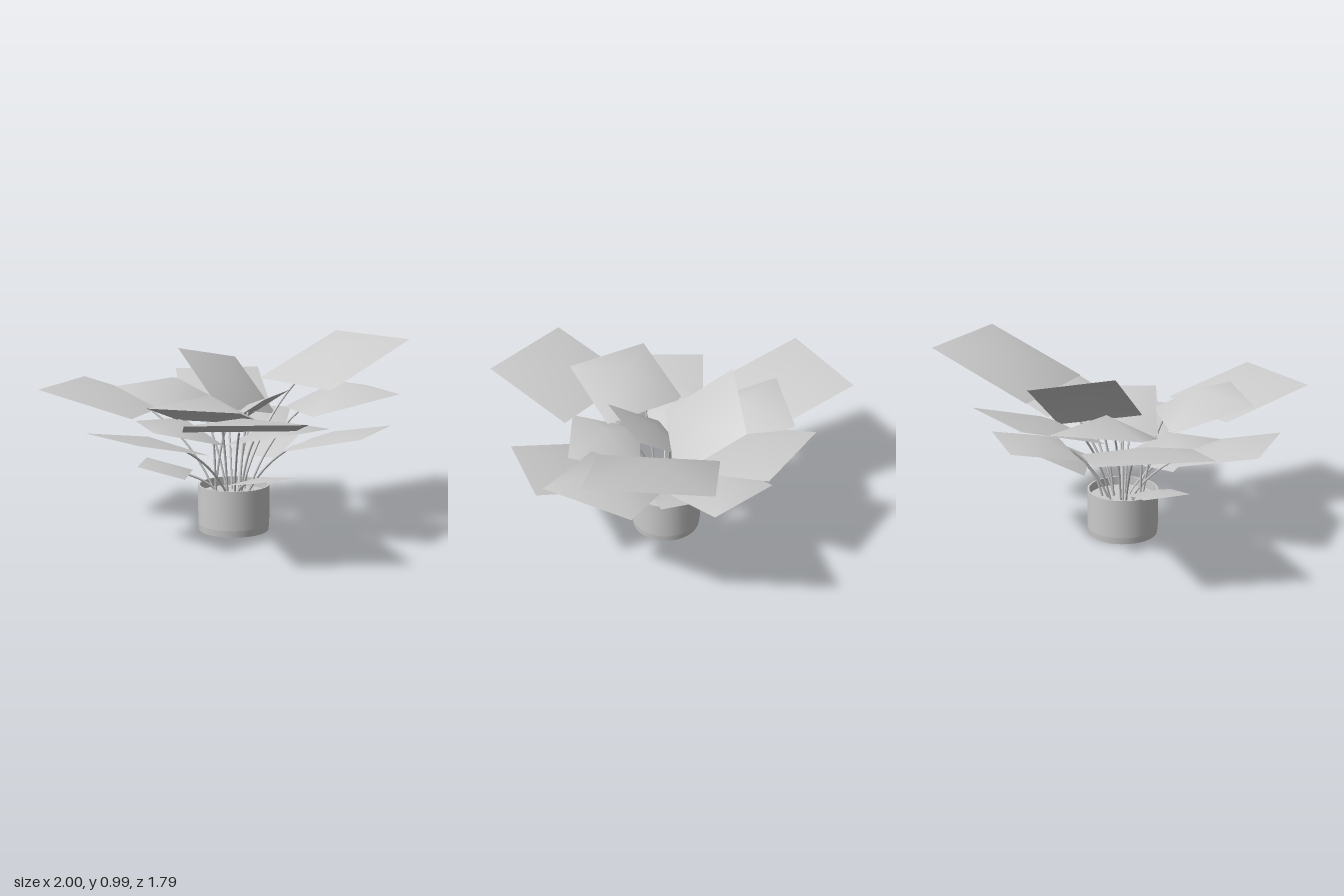
import * as THREE from 'three';

const V = (p) => new THREE.Vector3(...p);
const POT = { x: -0.004, z: 0.08, r: 0.191, h: 0.247 };

// Each leaf: two outer corners, the inner corner next to the second one, and the height of its bulge
const upperLeaves = [
  [[-0.31, 0.985, -0.9], [0.305, 0.985, -0.9], [0.305, 0.75, -0.33], 0.08],
  [[1.0, 0.745, 0.405], [0.69, 0.745, 0.87], [0.235, 0.617, 0.57], 0.05],
  [[-1.0, 0.745, 0.41], [-0.685, 0.745, 0.87], [-0.235, 0.617, 0.57], 0.05],
  [[-0.435, 0.865, -0.25], [-0.345, 0.953, 0.2], [0.01, 0.67, 0.185], 0.06],
  [[0.09, 0.715, -0.78], [0.54, 0.735, -0.605], [0.365, 0.635, -0.155], 0.11],
  [[0.565, 0.745, 0.465], [0.18, 0.745, 0.74], [-0.07, 0.617, 0.39], 0.11],
  [[-0.685, 0.74, 0.01], [-0.58, 0.74, 0.455], [-0.165, 0.617, 0.355], 0.11],
  [[-0.555, 0.775, -0.505], [-0.79, 0.775, -0.08], [-0.365, 0.62, 0.155], 0.05],
  [[0.12, 0.745, -0.2], [0.31, 0.745, 0.12], [0.05, 0.55, 0.26], 0.04],
];
const lowerLeaves = [
  [[-0.155, 0.59, 0.89], [0.285, 0.59, 0.855], [0.26, 0.487, 0.43], 0.04],
  [[0.605, 0.59, -0.485], [0.805, 0.59, -0.09], [0.41, 0.487, 0.11], 0.04],
  [[-0.31, 0.59, 0.5], [0.045, 0.59, 0.615], [0.16, 0.5, 0.26], 0.085],
  [[0.49, 0.59, -0.165], [0.52, 0.59, 0.22], [0.15, 0.5, 0.245], 0.085],
  [[-0.58, 0.565, -0.27], [-0.3, 0.565, -0.55], [-0.04, 0.49, -0.29], 0.06],
  [[-0.31, 0.48, -0.3], [-0.02, 0.48, -0.41], [0.07, 0.37, -0.15], 0.03],
  [[0.47, 0.365, 0.315], [0.5, 0.365, 0.05], [0.235, 0.303, 0.02], 0.025],
  [[-0.39, 0.365, 0.38], [-0.21, 0.365, 0.555], [-0.035, 0.303, 0.375], 0.025],
];

export function createModel() {
  const plant = new THREE.Group();
  plant.name = 'pottedPlant';
  const grey = new THREE.MeshStandardMaterial({ color: 0xcccccc });
  const greyThin = new THREE.MeshStandardMaterial({ color: 0xcccccc, side: THREE.DoubleSide });

  const add = (geometry, material, name, parent = plant) => {
    const mesh = new THREE.Mesh(geometry, material);
    mesh.name = name;
    parent.add(mesh);
    return mesh;
  };

  // Pot wall, open at the top with a thin rim; doubled corner points keep the edges sharp
  const { r, h } = POT;
  const wall = [[r, 0.036], [r, h], [r, h], [r - 0.01, h], [r - 0.01, h], [r - 0.01, 0.2]];
  const pot = new THREE.Group();
  pot.name = 'pot';
  pot.position.set(POT.x, 0, POT.z);
  plant.add(pot);
  add(new THREE.LatheGeometry(wall.map((p) => new THREE.Vector2(...p)), 32), greyThin, 'potWall', pot);
  add(new THREE.CylinderGeometry(r, r - 0.004, 0.036, 32), grey, 'potBase', pot).position.y = 0.018;
  add(new THREE.CircleGeometry(r - 0.01, 32).rotateX(-Math.PI / 2), grey, 'soil', pot).position.y = 0.2;

  // Leaf: a square sheet whose middle is lifted along its normal
  const leafGeometry = (a, b, c, d, bulge) => {
    const normal = b.clone().sub(a).cross(c.clone().sub(b)).normalize();
    const up = normal.y > 0;
    if (!up) normal.negate();
    const middle = a.clone().add(c).multiplyScalar(0.5).addScaledVector(normal, bulge);
    const corners = up ? [a, b, c, d] : [d, c, b, a];
    const geometry = new THREE.BufferGeometry().setFromPoints([...corners, middle]);
    geometry.setIndex([0, 1, 4, 1, 2, 4, 2, 3, 4, 3, 0, 4]);
    geometry.computeVertexNormals();
    return geometry;
  };

  // Stem: a thin curve from the soil to the inner edge of its leaf
  const stemGeometry = (end, i) => {
    const angle = Math.atan2(end.z - POT.z, end.x - POT.x);
    const reach = 0.05 + 0.03 * (i % 3);
    const start = V([POT.x + Math.cos(angle) * reach, 0.2, POT.z + Math.sin(angle) * reach]);
    const bend = start.clone().lerp(end, 0.35);
    bend.y = start.y + (end.y - start.y) * 0.65;
    return new THREE.TubeGeometry(new THREE.QuadraticBezierCurve3(start, bend, end), 10, 0.006, 6);
  };

  const leaves = new THREE.Group();
  leaves.name = 'leaves';
  const stems = new THREE.Group();
  stems.name = 'stems';
  plant.add(leaves, stems);
  [...upperLeaves, ...lowerLeaves].forEach(([p, q, s, bulge], i) => {
    const [a, b, c] = [V(p), V(q), V(s)];
    const d = a.clone().add(c).sub(b);
    const name = i < upperLeaves.length ? 'upperLeaf' : 'lowerLeaf';
    add(leafGeometry(a, b, c, d, bulge), greyThin, name, leaves);
    add(stemGeometry(c.clone().add(d).multiplyScalar(0.5), i), grey, 'stem', stems);
  });

  return plant;
}
